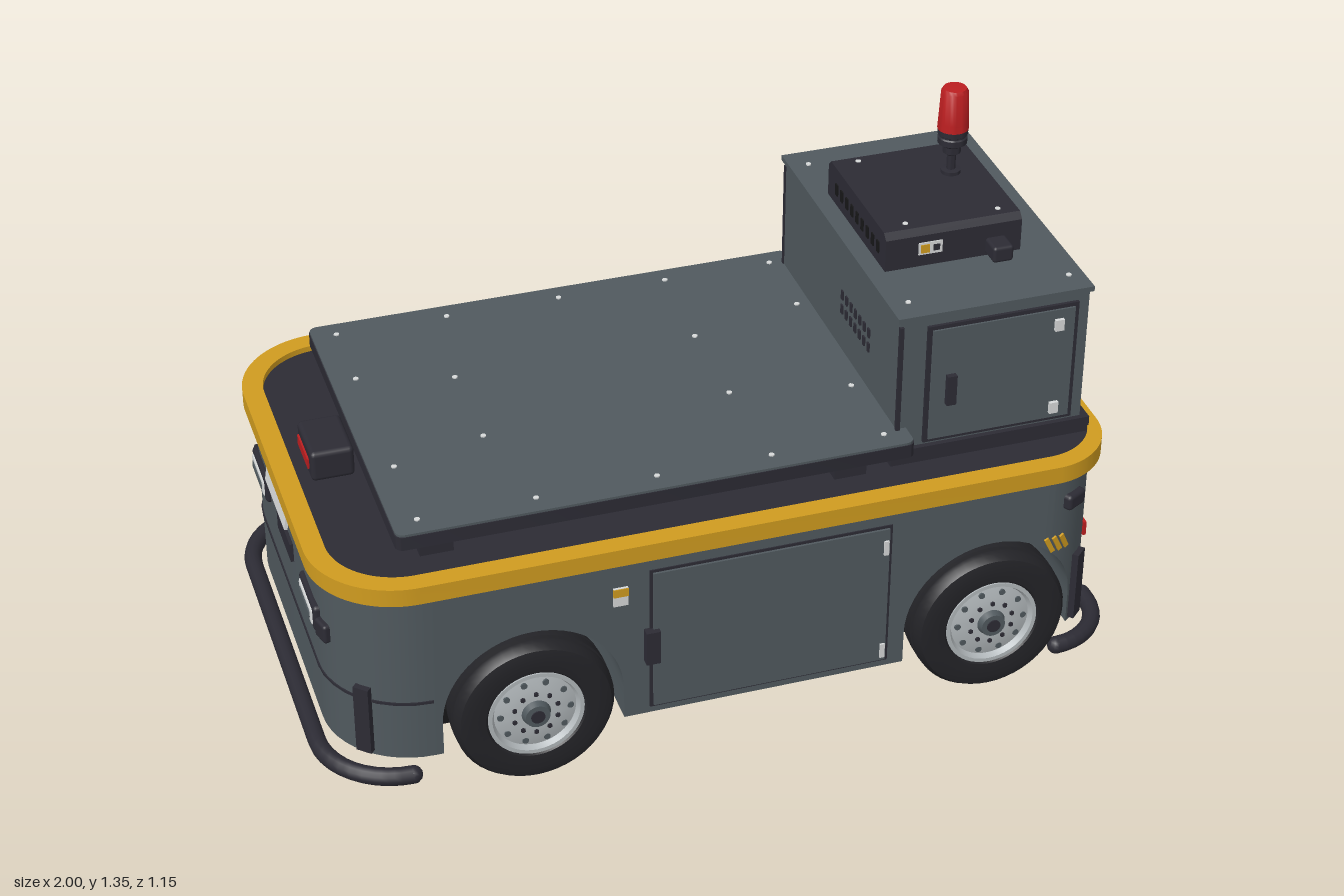
import * as THREE from 'three';
import { toCreasedNormals } from 'three/addons/utils/BufferGeometryUtils.js';
import { RoundedBoxGeometry } from 'three/addons/geometries/RoundedBoxGeometry.js';

const paint = (name, color) => Object.assign(new THREE.MeshStandardMaterial({ color }), { name });
const M = {
  grey: paint('body grey', 0x50595e), dark: paint('dark trim', 0x2c2b34),
  tyre: paint('tyre rubber', 0x232327), under: paint('underside black', 0x171718),
  yellow: paint('safety yellow', 0xcf9b1f), red: paint('signal red', 0xbb1e20),
  silver: paint('rim silver', 0xb2b8bb), light: paint('light plate', 0xd6d8d8),
};

// Body plan: half width, ends and corner radii
const HW = 0.53, X0 = -0.95, X1 = 0.948, RL = 0.22, RR = 0.16;
const WHEELS = [-0.49, 0.655], ARCH_Y = 0.2, ARCH_R = 0.22;

export function createModel() {
  const root = new THREE.Group();
  root.name = 'platformVehicle';

  const add = (name, geo, mat, x = 0, y = 0, z = 0, parent = root) => {
    const m = new THREE.Mesh(geo, mat);
    m.name = name;
    m.position.set(x, y, z);
    parent.add(m);
    return m;
  };
  // Box given by its minimum and maximum corners
  const box = (name, mat, [ax, bx], [ay, by], [az, bz], parent = root) =>
    add(name, new THREE.BoxGeometry(bx - ax, by - ay, bz - az), mat, (ax + bx) / 2, (ay + by) / 2, (az + bz) / 2, parent);
  const cyl = (r1, r2, h, n = 24) => new THREE.CylinderGeometry(r1, r2, h, n);

  // Plan outline with separate radii for the two ends
  const outline = (x0, x1, h, rl, rr) => {
    const s = new THREE.Shape();
    s.moveTo(x0 + rl, -h).lineTo(x1 - rr, -h);
    s.absarc(x1 - rr, -h + rr, rr, -Math.PI / 2, 0);
    s.absarc(x1 - rr, h - rr, rr, 0, Math.PI / 2);
    s.absarc(x0 + rl, h - rl, rl, Math.PI / 2, Math.PI);
    s.absarc(x0 + rl, -h + rl, rl, Math.PI, Math.PI * 1.5);
    return s;
  };
  const slab = (shape, depth) => toCreasedNormals(
    new THREE.ExtrudeGeometry(shape, { depth, bevelEnabled: false, curveSegments: 14 }).rotateX(-Math.PI / 2), 0.5);

  // Body: sections lofted along x, with wheel arches cut through
  const width = x => {
    if (x < X0 + RL) return HW - RL + Math.sqrt(Math.max(0, RL ** 2 - (X0 + RL - x) ** 2));
    if (x > X1 - RR) return HW - RR + Math.sqrt(Math.max(0, RR ** 2 - (x - X1 + RR) ** 2));
    return HW;
  };
  const bottom = x => {
    const c = WHEELS.find(w => Math.abs(x - w) <= ARCH_R);
    return c === undefined ? 0.115 : ARCH_Y + Math.sqrt(Math.max(0, ARCH_R ** 2 - (x - c) ** 2));
  };
  const xs = [];
  for (let i = 0; i <= 12; i++) {
    const c = Math.cos(i / 12 * Math.PI / 2);
    xs.push(X0 + RL - RL * c, X1 - RR + RR * c);
  }
  for (const w of WHEELS) {
    xs.push(w - ARCH_R - 1e-4, w + ARCH_R + 1e-4);
    for (let i = 0; i <= 28; i++) xs.push(w + (ARCH_R - 1e-6) * Math.cos(i / 28 * Math.PI));
  }
  xs.sort((a, b) => a - b);
  const rings = xs.map(x => {
    const w = width(x), b = bottom(x);
    return [[x, 0.59, w], [x, 0.59, -w], [x, b, -w], [x, b, w]];
  });
  const pos = [];
  const quad = (a, b, c, d) => pos.push(...a, ...b, ...c, ...a, ...c, ...d);
  for (let i = 0; i < rings.length - 1; i++)
    for (let k = 0; k < 4; k++)
      quad(rings[i][k], rings[i + 1][k], rings[i + 1][(k + 1) % 4], rings[i][(k + 1) % 4]);
  const last = rings[rings.length - 1];
  quad(...rings[0]);
  quad(last[3], last[2], last[1], last[0]);
  const bodyGeo = new THREE.BufferGeometry();
  bodyGeo.setAttribute('position', new THREE.Float32BufferAttribute(pos, 3));
  add('body', toCreasedNormals(bodyGeo, 0.5), M.grey);

  // Yellow rim, deck and floor plate
  const rim = outline(-0.973, 0.97, 0.556, 0.22, 0.17);
  rim.holes.push(outline(-0.922, 0.945, 0.506, 0.17, 0.145));
  add('yellowRim', slab(rim, 0.046), M.yellow, 0, 0.579, 0);
  add('deck', slab(outline(-0.93, 0.95, 0.51, 0.17, 0.14), 0.03), M.dark, 0, 0.58, 0);
  box('floorPlate', M.under, [-0.78, 0.87], [0.078, 0.12], [-0.38, 0.38]);

  // Wheels: tyre, dished rim, bolt holes and hub
  const lathe = pts => toCreasedNormals(
    new THREE.LatheGeometry(pts.map(p => new THREE.Vector2(...p)), 48).rotateX(Math.PI / 2), 0.6);
  const tyreGeo = lathe([[0.115, -0.055], [0.16, -0.0625], [0.183, -0.056], [0.194, -0.04], [0.195, -0.026],
    [0.188, -0.023], [0.188, -0.017], [0.196, -0.014], [0.196, 0.014], [0.188, 0.017], [0.188, 0.023],
    [0.195, 0.026], [0.194, 0.04], [0.183, 0.056], [0.16, 0.0625], [0.122, 0.058], [0.115, 0.05], [0.115, -0.055]]);
  const rimGeo = lathe([[0, -0.045], [0.117, -0.045], [0.117, 0.056], [0.107, 0.056], [0.1, 0.042],
    [0.07, 0.05], [0.045, 0.052], [0, 0.052]]);
  for (const x of WHEELS) for (const s of [1, -1]) {
    const wheel = new THREE.Group();
    wheel.name = 'wheel';
    wheel.position.set(x, 0.196, s * 0.496);
    if (s < 0) wheel.rotation.y = Math.PI;
    root.add(wheel);
    add('tyre', tyreGeo, M.tyre, 0, 0, 0, wheel);
    add('rim', rimGeo, M.silver, 0, 0, 0, wheel);
    add('hub', cyl(0.03, 0.037, 0.02).rotateX(Math.PI / 2), M.grey, 0, 0, 0.058, wheel);
    add('hubCap', cyl(0.017, 0.017, 0.006).rotateX(Math.PI / 2), M.dark, 0, 0, 0.068, wheel);
    for (let i = 0; i < 10; i++) {
      const a = i / 10 * Math.PI * 2;
      add('rimHole', cyl(0.008, 0.008, 0.006, 10).rotateX(Math.PI / 2), M.grey, 0.085 * Math.cos(a), 0.085 * Math.sin(a), 0.046, wheel);
      add('wheelNut', cyl(0.006, 0.006, 0.008, 6).rotateX(Math.PI / 2), M.dark, 0.055 * Math.cos(a + 0.3), 0.055 * Math.sin(a + 0.3), 0.052, wheel);
    }
  }

  // Bumper tubes: full loop at -x, two corner pieces at +x
  const arc = (cx, cz, r, a0, a1) => Array.from({ length: 11 }, (_, i) => {
    const a = a0 + (a1 - a0) * i / 10;
    return new THREE.Vector3(cx + r * Math.cos(a), 0.09, cz + r * Math.sin(a));
  });
  const tube = (name, pts) => {
    const path = new THREE.CurvePath();
    for (let i = 0; i < pts.length - 1; i++) path.add(new THREE.LineCurve3(pts[i], pts[i + 1]));
    add(name, new THREE.TubeGeometry(path, 90, 0.022, 12), M.dark);
    for (const p of [pts[0], pts[pts.length - 1]])
      add('bumperEnd', new THREE.SphereGeometry(0.022, 12, 8), M.dark, p.x, p.y, p.z);
  };
  tube('endBumper', [...arc(-0.79, 0.365, 0.188, Math.PI / 2, Math.PI), ...arc(-0.79, -0.365, 0.188, Math.PI, Math.PI * 1.5)]);
  for (const s of [1, -1])
    tube('cornerBumper', [...arc(0.83, s * 0.41, 0.145, s * Math.PI / 2, 0), new THREE.Vector3(0.975, 0.09, s * 0.38)]);

  // Places a part on a rounded body corner at an angle from the side
  const onCorner = (name, geo, mat, end, side, angle, y, out = 0) => {
    const r = end > 0 ? RR : RL, cx = end > 0 ? X1 - RR : X0 + RL;
    const m = add(name, geo, mat, cx + end * (r + out) * Math.sin(angle), y, side * (HW - r + (r + out) * Math.cos(angle)));
    m.rotation.y = side > 0 ? end * angle : Math.PI - end * angle;
    return m;
  };

  for (const s of [1, -1]) {
    // Plate on a side wall: centre x, y, size, wall distance and thickness
    const plate = (name, mat, x, y, w, h, z, t = 0.008) =>
      add(name, new THREE.BoxGeometry(w, h, t), mat, x, y, s * z);

    // Side door with frame, handle and hinges
    plate('doorGap', M.dark, 0.093, 0.333, 0.6, 0.4, HW, 0.006);
    plate('sideDoor', M.grey, 0.093, 0.333, 0.584, 0.386, HW + 0.002, 0.014);
    plate('doorHandle', M.dark, -0.203, 0.32, 0.035, 0.092, HW + 0.01, 0.025);
    for (const y of [0.17, 0.475]) plate('doorHinge', M.light, 0.376, y, 0.012, 0.04, HW + 0.008, 0.012);
    plate('sideLabel', M.light, -0.277, 0.475, 0.036, 0.05, HW + 0.002);
    plate('labelStripe', M.yellow, -0.277, 0.488, 0.036, 0.022, HW + 0.004);

    // Corner fittings
    for (const e of [1, -1])
      onCorner('bumperBracket', new THREE.BoxGeometry(0.04, e > 0 ? 0.19 : 0.185, 0.022), M.dark, e, s, 0.75, 0.22, 0.004);
    onCorner('sideMarker', new RoundedBoxGeometry(0.062, 0.042, 0.03, 2, 0.01), M.dark, 1, s, 0.5, 0.495, 0.002);
    for (let i = 0; i < 3; i++)
      onCorner('hazardStripe', new THREE.BoxGeometry(0.012, 0.045, 0.006), M.yellow, 1, s, 0.09 + i * 0.13, 0.382, 0.002).rotateZ(s * 0.45);
    for (let i = 0; i < 8; i++)
      onCorner('seamLine', new THREE.BoxGeometry(0.046, 0.007, 0.005), M.dark, -1, s, (i + 0.5) / 8 * Math.PI / 2, 0.275);
    onCorner('cornerSensor', new RoundedBoxGeometry(0.05, 0.05, 0.024, 2, 0.008), M.dark, -1, s, 1.3, 0.415, 0.002);
    box('reflector', M.red, [X1 - 0.002, X1 + 0.006], [0.302, 0.34], [s * 0.365 - 0.053, s * 0.365 + 0.053]);

    // Headlamp
    add('headlampFrame', new RoundedBoxGeometry(0.024, 0.07, 0.16, 2, 0.01), M.dark, X0, 0.43, s * 0.27);
    add('headlampRing', new RoundedBoxGeometry(0.026, 0.05, 0.14, 2, 0.01), M.light, X0 - 0.003, 0.43, s * 0.27);
    add('headlampLens', new RoundedBoxGeometry(0.026, 0.028, 0.115, 2, 0.01), M.grey, X0 - 0.006, 0.43, s * 0.27);

    // Cabinet door
    plate('cabinetDoorGap', M.dark, 0.702, 0.82, 0.38, 0.322, 0.4, 0.01);
    plate('cabinetDoor', M.grey, 0.702, 0.82, 0.358, 0.302, 0.402, 0.016);
    plate('cabinetHandle', M.dark, 0.572, 0.805, 0.024, 0.08, 0.413, 0.022);
    for (const y of [0.7, 0.932]) plate('cabinetHinge', M.light, 0.84, y, 0.022, 0.03, 0.41, 0.018);
    plate('cabinetEdge', M.dark, 0.447, 0.825, 0.01, 0.33, 0.4, 0.01);
  }

  // Details of the -x end
  box('endSeam', M.dark, [X0 - 0.003, X0 + 0.004], [0.271, 0.279], [-0.32, 0.32]);
  box('endPanel', M.dark, [X0 - 0.008, X0], [0.405, 0.455], [-0.075, 0.075]);
  const numberPlate = box('endPlate', M.light, [X0 - 0.02, X0 - 0.012], [0.525, 0.578], [-0.11, 0.11]);
  numberPlate.rotation.z = -0.15;
  add('scannerBox', new RoundedBoxGeometry(0.105, 0.08, 0.155, 2, 0.012), M.dark, -0.84, 0.658, -0.005);
  box('scannerWindow', M.red, [-0.897, -0.889], [0.645, 0.672], [-0.06, 0.05]);

  // Cargo platform on its supports
  for (const x of [-0.68, 0.325]) box('platformSupport', M.dark, [x - 0.04, x + 0.04], [0.605, 0.665], [-0.42, 0.42]);
  box('platformFrame', M.dark, [-0.755, 0.46], [0.65, 0.672], [-0.43, 0.43]);
  add('platformEdge', slab(outline(-0.782, 0.472, 0.462, 0.02, 0.02), 0.035), M.dark, 0, 0.665, 0);
  add('platformTop', slab(outline(-0.78, 0.47, 0.46, 0.02, 0.02), 0.008), M.grey, 0, 0.698, 0);
  const bolt = (x, y, z) => add('bolt', cyl(0.007, 0.007, 0.004, 8), M.light, x, y, z);
  for (const x of [-0.72, -0.44, -0.15, 0.13, 0.41]) for (const z of [-0.41, 0.41]) bolt(x, 0.707, z);
  for (const x of [-0.72, 0.41]) for (const z of [-0.2, 0.19]) bolt(x, 0.707, z);
  for (const x of [-0.49, 0.12]) for (const z of [-0.135, 0.13]) bolt(x, 0.707, z);

  // Cabinet with base, lid and vents
  box('cabinetBase', M.dark, [0.43, 0.94], [0.605, 0.65], [-0.41, 0.41]);
  box('cabinet', M.grey, [0.445, 0.92], [0.645, 1.006], [-0.397, 0.397]);
  box('cabinetLid', M.grey, [0.437, 0.928], [1.003, 1.016], [-0.41, 0.405]);
  for (const x of [0.485, 0.89]) for (const z of [-0.345, 0.34]) bolt(x, 1.017, z);
  for (let i = 0; i < 7; i++) for (const y of [0.82, 0.86])
    box('vent', M.dark, [0.441, 0.446], [y - 0.012, y + 0.012], [0.02 + i * 0.03, 0.032 + i * 0.03]);

  // Control box with display, plug and side slots
  const lidShape = new THREE.Shape([[-0.195, 0], [0.195, 0], [0.195, 0.085], [0.18, 0.1], [-0.18, 0.1], [-0.195, 0.085]]
    .map(p => new THREE.Vector2(...p)));
  const controlGeo = new THREE.ExtrudeGeometry(lidShape, { depth: 0.345, bevelEnabled: false }).rotateY(Math.PI / 2);
  add('controlBox', controlGeo, M.dark, 0.482, 1.014, 0);
  box('displayPlate', M.light, [0.565, 0.625], [1.048, 1.08], [0.19, 0.198]);
  box('displayMark', M.yellow, [0.57, 0.592], [1.053, 1.075], [0.193, 0.2]);
  box('displayKeys', M.dark, [0.602, 0.618], [1.056, 1.072], [0.193, 0.2]);
  add('plug', new RoundedBoxGeometry(0.052, 0.042, 0.06, 2, 0.008), M.dark, 0.762, 1.042, 0.218);
  for (let i = 0; i < 9; i++)
    box('controlSlot', M.under, [0.479, 0.483], [1.045, 1.075], [-0.14 + i * 0.035, -0.125 + i * 0.035]);
  for (const x of [0.545, 0.78]) for (const z of [-0.16, 0.155]) bolt(x, 1.114, z);

  // Beacon: stem, ribbed socket and red lens
  const turn = pts => toCreasedNormals(new THREE.LatheGeometry(pts.map(p => new THREE.Vector2(...p)), 32), 0.6);
  add('beaconStem', turn([[0, 0], [0.024, 0], [0.024, 0.01], [0.011, 0.012], [0.011, 0.05], [0.022, 0.058], [0.022, 0.075],
    [0.036, 0.085], [0.036, 0.1], [0.033, 0.103], [0.033, 0.107], [0.037, 0.11], [0.037, 0.124], [0, 0.124]]), M.dark, 0.74, 1.113, -0.045);
  add('beaconLens', turn([[0, 0], [0.038, 0], [0.037, 0.02], [0.033, 0.1], [0.028, 0.108], [0, 0.109]]), M.red, 0.74, 1.236, -0.045);

  return root;
}
